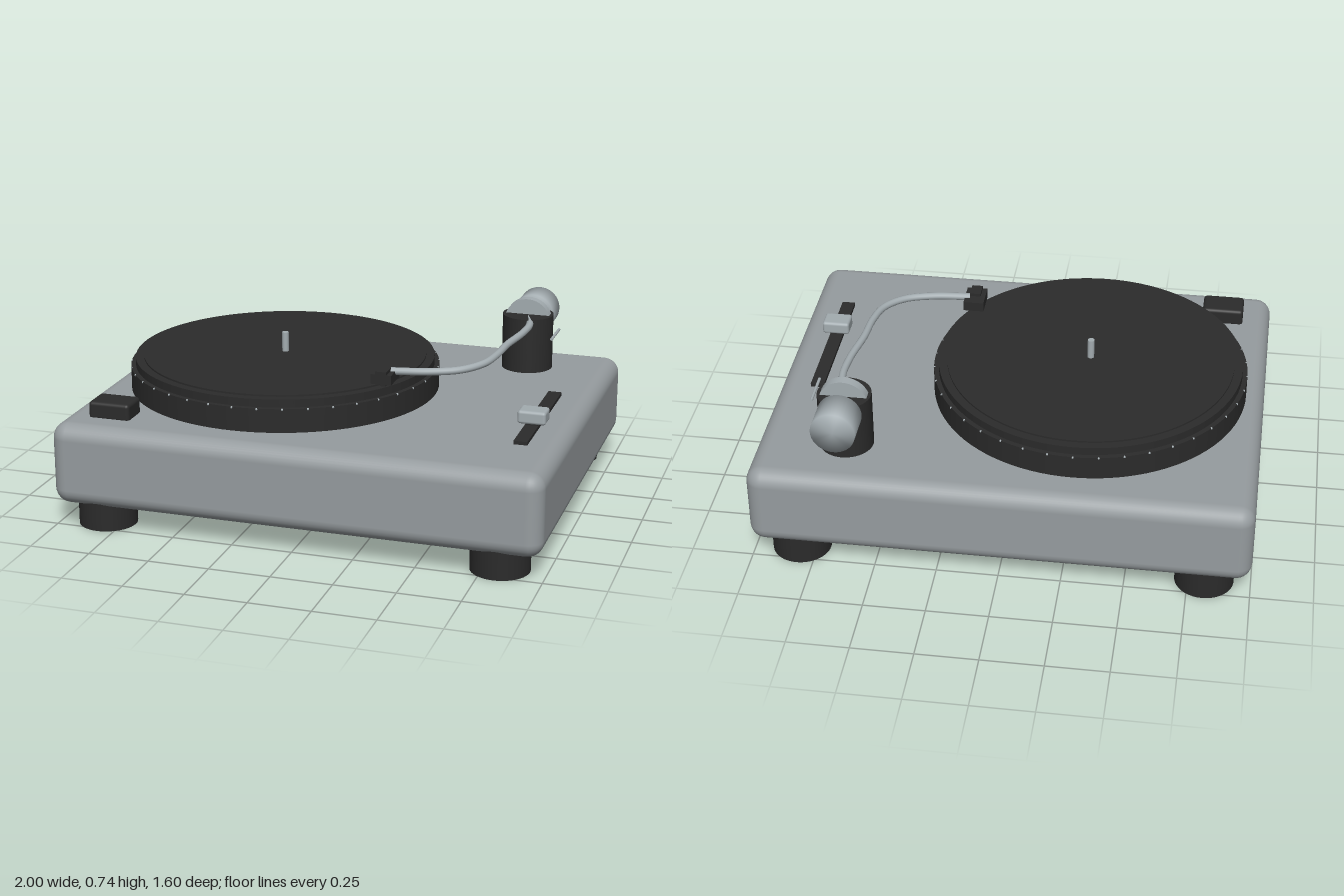
import * as THREE from 'three';
import { RoundedBoxGeometry } from 'three/addons/geometries/RoundedBoxGeometry.js';

const material = (name, color) => {
  const m = new THREE.MeshStandardMaterial({ color });
  m.name = name;
  return m;
};

export function createModel() {
  const model = new THREE.Group();
  model.name = 'turntable';
  const silver = material('silver body', 0x969c9f);
  const black = material('black', 0x2b2b2b);
  const metal = material('light metal', 0xa3acb0);

  const add = (name, geometry, mat, x, y, z, parent = model) => {
    const mesh = new THREE.Mesh(geometry, mat);
    mesh.name = name;
    mesh.position.set(x, y, z);
    parent.add(mesh);
    return mesh;
  };
  // Upright cylinder standing between two heights
  const disc = (name, r, y0, y1, mat, x, z, sides = 48) =>
    add(name, new THREE.CylinderGeometry(r, r, y1 - y0, sides), mat, x, (y0 + y1) / 2, z);
  // Box given by its minimum and maximum corners
  const box = (name, a, b, mat, radius = 0) => {
    const s = b.map((v, i) => v - a[i]);
    const geometry = radius ? new RoundedBoxGeometry(...s, 4, radius) : new THREE.BoxGeometry(...s);
    return add(name, geometry, mat, ...a.map((v, i) => (v + b[i]) / 2));
  };

  // Plinth and feet
  box('plinth', [-1, 0.1, -0.8], [1, 0.44, 0.8], silver, 0.065);
  for (const x of [-1, 1]) for (const z of [-1, 1])
    disc('foot', 0.118, 0, 0.125, black, x * 0.815, z * 0.66, 40);

  // Platter, mat, record and spindle
  const px = -0.28;
  disc('platter', 0.645, 0.43, 0.538, black, px, 0, 96);
  disc('mat', 0.625, 0.53, 0.571, black, px, 0, 96);
  disc('record', 0.59, 0.565, 0.578, black, px, 0, 96);
  disc('spindle', 0.014, 0.57, 0.66, metal, px, 0, 16);

  // Speed marks around the platter rim
  const dots = new THREE.Group();
  dots.name = 'speedMarks';
  model.add(dots);
  const dot = new THREE.SphereGeometry(0.005, 8, 6);
  for (let i = 0; i < 40; i++) {
    const a = (i / 40) * Math.PI * 2;
    add('speedMark', dot, metal, px + 0.643 * Math.cos(a), 0.535, 0.643 * Math.sin(a), dots);
  }

  // Tonearm pillar, pivot disc and counterweight
  const ax = 0.637, az = -0.53;
  disc('tonearmBase', 0.108, 0.43, 0.675, black, ax, az);
  add('pivotDisc', new THREE.CylinderGeometry(0.1, 0.1, 0.04, 48), metal, ax, 0.641, -0.535)
    .rotation.x = Math.PI / 2;
  add('counterweightShaft', new THREE.CylinderGeometry(0.018, 0.018, 0.14, 16), metal, ax, 0.645, -0.59)
    .rotation.x = Math.PI / 2;
  const weightProfile = [[0, 0], [0.088, 0], [0.088, 0.135], [0, 0.135]]
    .map(([r, y]) => new THREE.Vector2(r, y));
  add('counterweight', new THREE.LatheGeometry(weightProfile, 40), metal, ax, 0.643, -0.76)
    .rotation.x = Math.PI / 2;

  // Curved tonearm tube
  const path = [
    [0.637, 0.66, -0.52], [0.672, 0.662, -0.4], [0.67, 0.662, -0.27], [0.645, 0.66, -0.1],
    [0.635, 0.656, 0.04], [0.608, 0.65, 0.15], [0.535, 0.643, 0.235], [0.42, 0.638, 0.28], [0.27, 0.634, 0.302],
  ].map((p) => new THREE.Vector3(...p));
  add('tonearm', new THREE.TubeGeometry(new THREE.CatmullRomCurve3(path), 80, 0.015, 12), metal, 0, 0, 0);

  // Headshell, cartridge and stylus
  box('headshell', [0.205, 0.596, 0.252], [0.29, 0.636, 0.372], black);
  box('headshellCollar', [0.225, 0.63, 0.305], [0.27, 0.648, 0.372], black);
  box('stylus', [0.238, 0.582, 0.32], [0.262, 0.6, 0.35], black);

  // Cue lever beside the pillar
  add('cueLever', new THREE.CylinderGeometry(0.006, 0.006, 0.155, 12), metal, 0.775, 0.618, -0.442)
    .rotation.x = Math.PI / 2;

  // Pitch slider
  box('pitchTrack', [0.81, 0.43, -0.172], [0.865, 0.454, 0.467], black);
  box('pitchStem', [0.815, 0.445, 0.215], [0.862, 0.47, 0.27], black);
  box('pitchKnob', [0.781, 0.46, 0.198], [0.895, 0.514, 0.285], metal, 0.012);

  // Start button
  box('startButton', [-0.884, 0.43, 0.54], [-0.71, 0.505, 0.665], black, 0.015);

  return model;
}
